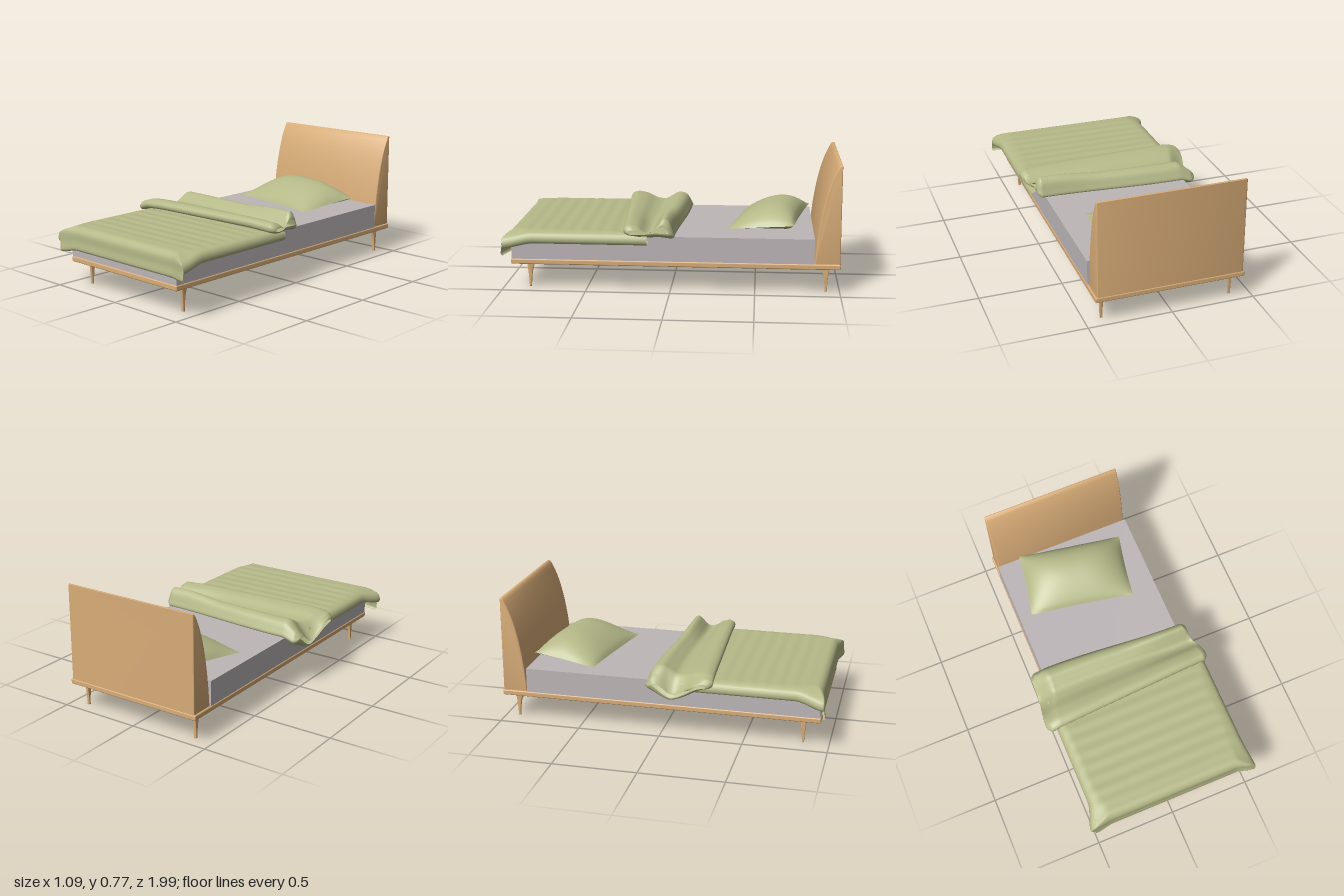
import * as THREE from 'three';
import { toCreasedNormals } from 'three/addons/utils/BufferGeometryUtils.js';
import { RoundedBoxGeometry } from 'three/addons/geometries/RoundedBoxGeometry.js';

const wood = new THREE.MeshStandardMaterial({ color: 0xd9ad78 });
wood.name = 'wood';
const grey = new THREE.MeshStandardMaterial({ color: 0xbdb6b8 });
grey.name = 'mattress grey';
const green = new THREE.MeshStandardMaterial({ color: 0xb5b988, side: THREE.DoubleSide });
green.name = 'sage fabric';

const CX = 0.008; // bed frame centre in x
const { lerp, smoothstep } = THREE.MathUtils;

function addMesh(parent, name, geometry, material, x = 0, y = 0, z = 0) {
  const mesh = new THREE.Mesh(geometry, material);
  mesh.name = name;
  mesh.position.set(x, y, z);
  parent.add(mesh);
  return mesh;
}

// Smooth surface from f(s, t) -> [x, y, z] with s, t in 0..1
function surface(f, ns, nt, closed = false) {
  const pos = [], index = [], cols = closed ? nt : nt + 1;
  for (let i = 0; i <= ns; i++)
    for (let j = 0; j < cols; j++) pos.push(...f(i / ns, j / nt));
  for (let i = 0; i < ns; i++)
    for (let j = 0; j < nt; j++) {
      const k = (j + 1) % cols;
      const a = i * cols + j, b = i * cols + k, c = a + cols, d = b + cols;
      index.push(a, b, c, b, d, c);
    }
  const g = new THREE.BufferGeometry();
  g.setAttribute('position', new THREE.Float32BufferAttribute(pos, 3));
  g.setIndex(index);
  g.computeVertexNormals();
  return g;
}

const curve2 = (pts, closed = false) =>
  new THREE.CatmullRomCurve3(pts.map(([a, b]) => new THREE.Vector3(a, b, 0)), closed, 'centripetal');

// Side profile (in -z, y) extruded across x and centred on x = 0
function crossExtrude(shape, width, bevel) {
  const g = new THREE.ExtrudeGeometry(shape, {
    depth: width - 2 * bevel, curveSegments: 20, bevelEnabled: bevel > 0,
    bevelSize: bevel, bevelThickness: bevel, bevelOffset: -bevel, bevelSegments: 3,
  });
  g.translate(0, 0, -(width - 2 * bevel) / 2).rotateY(Math.PI / 2);
  return toCreasedNormals(g, 0.6);
}

// Headboard: flat back, front curving back towards a thin top
function headboardGeometry() {
  const s = new THREE.Shape();
  s.moveTo(0.848, 0.175);
  s.bezierCurveTo(0.862, 0.42, 0.905, 0.65, 0.978, 0.762);
  s.quadraticCurveTo(0.985, 0.768, 0.995, 0.764);
  s.lineTo(0.997, 0.175);
  s.closePath();
  return crossExtrude(s, 0.875, 0.006);
}

// Leg: thin blade, wide at the frame, tapering to a small foot
function legGeometry() {
  const s = new THREE.Shape();
  s.moveTo(-0.02, 0.155);
  s.quadraticCurveTo(-0.008, 0.08, -0.006, 0);
  s.lineTo(0.006, 0);
  s.quadraticCurveTo(0.009, 0.115, 0.036, 0.155);
  s.closePath();
  return crossExtrude(s, 0.017, 0.003);
}

// Pillow: rear edge raised, fullest towards the rear
function pillowGeometry(top) {
  return surface((s, t) => {
    const u = s * 2 - 1, v = t * 2 - 1; // v = -1 front, +1 rear
    const seam = 0.365 + 0.02 * v;
    const puff = Math.pow(1 - Math.abs(u) ** 3, 0.8) * Math.pow(1 - v * v, 0.65) * (1 + 0.3 * v);
    const edge = Math.max(Math.abs(u), Math.abs(v)) ** 4;
    const y = top ? seam + 0.107 * puff : 0.333 + (seam - 0.333) * edge;
    return [u * 0.33 * (1 - 0.02 * (1 - v * v)), y, -v * 0.2 * (1 - 0.03 * (1 - u * u))];
  }, 40, 32);
}

// Cover: spread over the foot of the bed, hems hanging over three sides
function coverGeometry() {
  const across = curve2([[-0.445, 0.31], [-0.485, 0.297], [-0.482, 0.34], [-0.445, 0.363], [-0.2, 0.367],
    [0, 0.367], [0.2, 0.367], [0.46, 0.366], [0.515, 0.35], [0.528, 0.312], [0.512, 0.292], [0.456, 0.305]]);
  const along = curve2([[0.13, 0.345], [0.28, 0.362], [0.45, 0.366], [0.65, 0.366], [0.86, 0.367],
    [0.93, 0.362], [0.955, 0.335], [0.958, 0.28], [0.962, 0.228], [0.95, 0.224]]);
  return surface((s, t) => {
    const a = across.getPointAt(s), b = along.getPointAt(t);
    const side = smoothstep(Math.abs(a.x - 0.02), 0.4, 0.5);
    const foot = smoothstep(b.x, 0.8, 0.96);
    const drop = smoothstep(0.36 - b.y, 0, 0.13);
    const left = a.x < 0 ? 1 : 0;
    const ripple = 0.002 * Math.sin(b.x * 75) * (1 - side) * (1 - foot);
    return [
      a.x + Math.sign(a.x) * side * foot * (0.018 + 0.03 * left * (1 - drop)),
      Math.min(a.y - 0.03 * side * foot, b.y - 0.02 * left * side * drop) + ripple,
      b.x + 0.025 * side * foot * (1 - 0.4 * left),
    ];
  }, 90, 80);
}

// Turned-back fold: front roll, valley and rear hump swept across the bed
function foldGeometry() {
  const loop = curve2([[-0.06, 0.333], [0.05, 0.334], [0.16, 0.337], [0.235, 0.355], [0.275, 0.363],
    [0.302, 0.376], [0.303, 0.402], [0.27, 0.42], [0.21, 0.412], [0.15, 0.385], [0.1, 0.378],
    [0.06, 0.4], [0.015, 0.424], [-0.025, 0.412], [-0.05, 0.37]], true);
  return surface((s, t) => {
    const p = Math.sin((s - 0.5) * Math.PI); // -1 left hem .. +1 right hem
    const q = loop.getPointAt(t);
    const end = Math.sqrt(Math.min(1, (1 - Math.abs(p)) / 0.05));
    const front = smoothstep(q.x, 0.05, 0.28);
    const k = (q.x + 0.06) / 0.365;
    const rightness = smoothstep(p, 0.1, 0.75), leftness = smoothstep(-p, 0.83, 1);
    // hump and valley grow stronger towards +x
    const hump = Math.exp(-(((q.x - 0.015) / 0.05) ** 2)), valley = Math.exp(-(((q.x - 0.12) / 0.045) ** 2));
    const upper = smoothstep(q.y, 0.345, 0.4);
    let y = q.y + upper * rightness * (0.02 * hump - 0.02 * valley);
    let z = lerp(lerp(-0.08, -0.025, smoothstep(p, -0.8, 1)), 0.297 - 0.032 * p, k);
    y = lerp(0.375, y, lerp(0.35, 1, end)) - leftness * (0.018 + 0.085 * (1 - front) * smoothstep(q.x, -0.1, 0.08));
    z = lerp(0.12, z, lerp(0.8, 1, end));
    y -= 0.008 * smoothstep(Math.abs(p), 0.6, 1) * front;
    return [p * 0.546 * (1 - 0.09 * (1 - front) * (1 - 0.5 * leftness)), y, z];
  }, 80, 90, true);
}

export function createModel() {
  const bed = new THREE.Group();
  bed.name = 'bed';

  // Frame
  addMesh(bed, 'basePlatform', new RoundedBoxGeometry(0.895, 0.032, 1.95, 3, 0.007), wood, CX, 0.165, -0.025);
  addMesh(bed, 'headboard', headboardGeometry(), wood, CX);
  const leg = legGeometry();
  for (const side of [-1, 1]) {
    addMesh(bed, 'frontLeg', leg, wood, CX + side * 0.39, 0, 0.845);
    const back = addMesh(bed, 'backLeg', leg, wood, CX + side * 0.39, 0, -0.918);
    back.rotation.y = Math.PI;
  }

  // Mattress
  addMesh(bed, 'mattress', new THREE.BoxGeometry(0.889, 0.15, 1.79), grey, CX, 0.256, 0.05);

  // Pillow, lying askew
  const pillow = new THREE.Group();
  pillow.name = 'pillow';
  addMesh(pillow, 'pillowTop', pillowGeometry(true), green);
  addMesh(pillow, 'pillowUnderside', pillowGeometry(false), green);
  pillow.position.set(0, 0, -0.583);
  pillow.rotation.y = -0.175;
  bed.add(pillow);

  // Bedding
  addMesh(bed, 'blanket', coverGeometry(), green);
  addMesh(bed, 'blanketFold', foldGeometry(), green);
  return bed;
}
